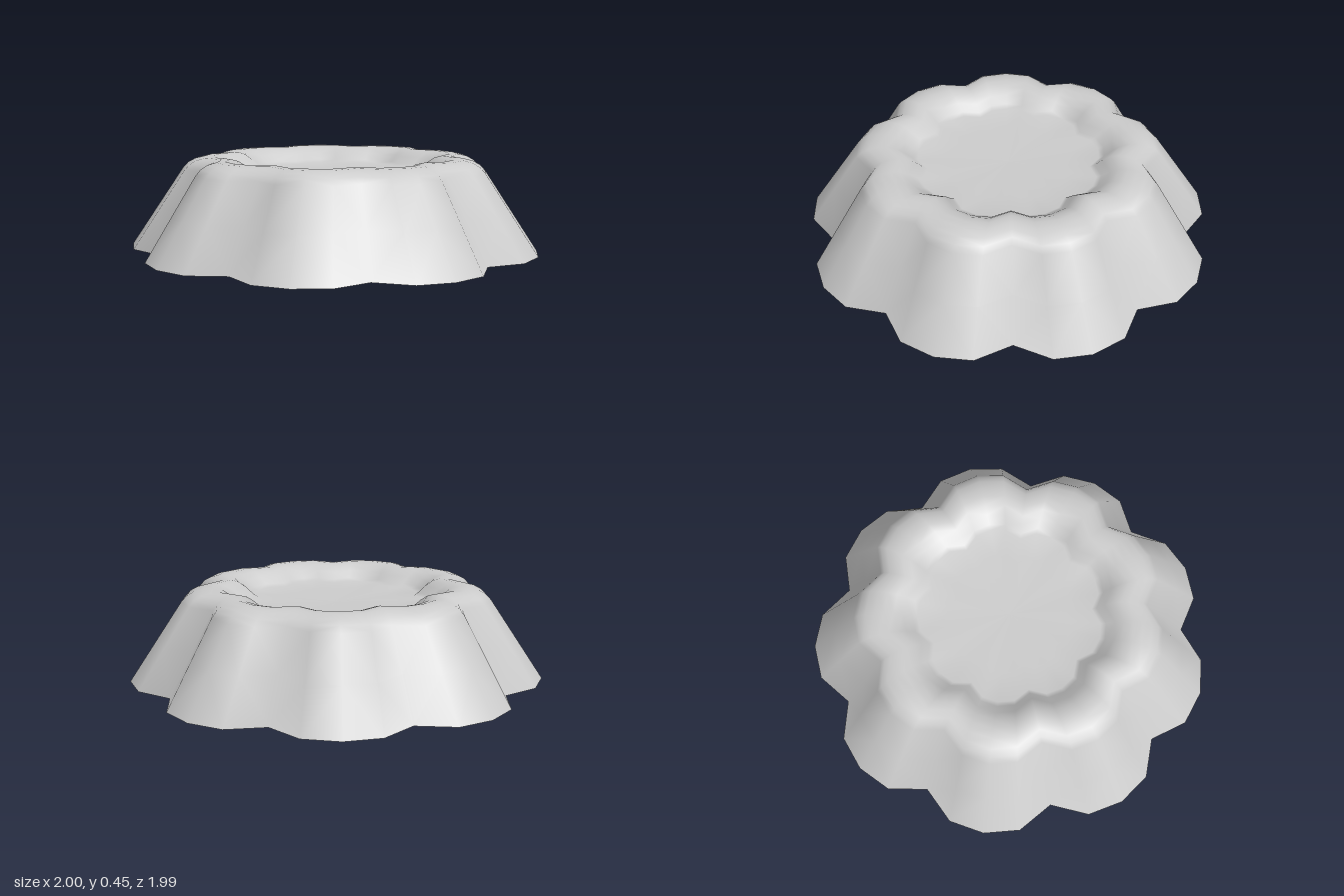
import * as THREE from 'three';

const LOBES = 9, STEPS = 4, N = LOBES * STEPS;
// Radius at the tip, shoulder, notch and shoulder of each lobe
const LOBE = [1.0155, 0.994, 0.893, 0.994];
const CENTRE_Z = -0.022;

// Skins scalloped rings given as [scale, height]; a zero scale closes to a point
function scallopedSkin(profile) {
  const pos = [], idx = [];
  profile.forEach(([s, y]) => {
    for (let i = 0; i < N; i++) {
      const a = (i / N) * Math.PI * 2;
      const r = LOBE[i % STEPS] * s;
      pos.push(r * Math.sin(a), y, r * Math.cos(a) + CENTRE_Z);
    }
  });
  for (let j = 0; j < profile.length - 1; j++) {
    for (let i = 0; i < N; i++) {
      const a = j * N + i, b = j * N + (i + 1) % N, c = a + N, d = b + N;
      // Diagonals mirror about each lobe so the shading stays symmetric
      if (i % STEPS < STEPS / 2) idx.push(a, b, c, b, d, c);
      else idx.push(a, b, d, a, d, c);
    }
  }
  const g = new THREE.BufferGeometry();
  g.setAttribute('position', new THREE.Float32BufferAttribute(pos, 3));
  g.setIndex(idx);
  g.computeVertexNormals();
  return g;
}

export function createModel() {
  const group = new THREE.Group();
  group.name = 'scallopedDish';
  const grey = new THREE.MeshStandardMaterial({ color: 0xcccccc });
  grey.name = 'plain grey';

  const add = (name, profile) => {
    const mesh = new THREE.Mesh(scallopedSkin(profile), grey);
    mesh.name = name;
    group.add(mesh);
  };

  // Sloping wall, rounded rim and gently sunken floor in one smooth skin
  add('wallRimAndFloor', [
    [1, 0.006], [0.87, 0.202], [0.745, 0.39], [0.72, 0.417], [0.685, 0.436],
    [0.64, 0.447], [0.595, 0.449], [0.55, 0.438], [0.51, 0.414],
    [0.47, 0.382], [0.445, 0.368], [0.3, 0.36], [0, 0.355],
  ]);

  // Underside, meeting the wall at a sharp edge
  add('base', [[0, 0], [0.85, 0], [1, 0.006]]);
  return group;
}
